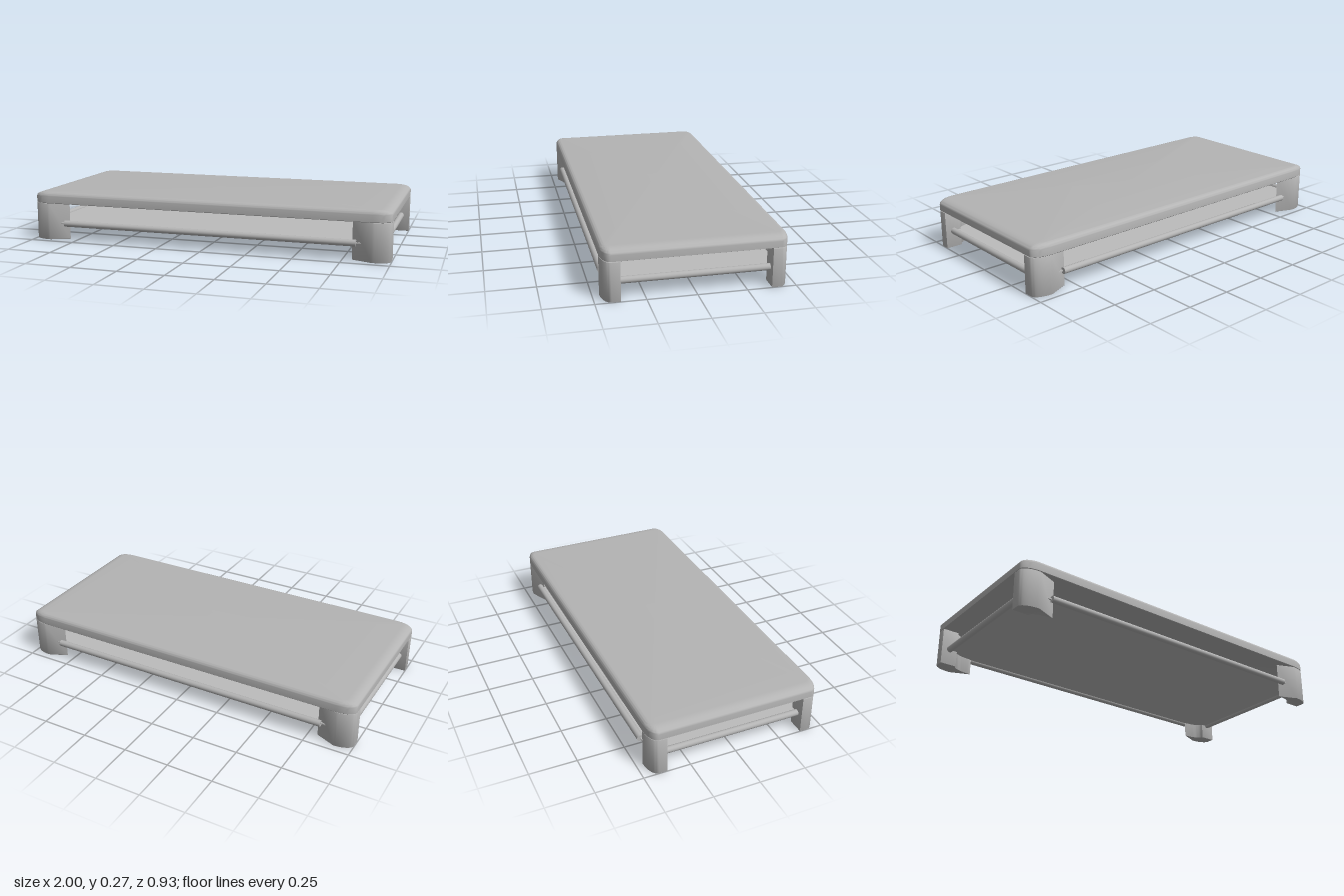
import * as THREE from 'three';
import { toCreasedNormals } from 'three/addons/utils/BufferGeometryUtils.js';

const HX = 1, HZ = 0.465;      // half length and half depth
const STRETCH = 2.1;           // roundings are longer along x than along z

// Outline of a rounded rectangle inset by t
function outline(t, r) {
  const pts = [], n = 10;
  const rz = Math.max(r - t, 0.001), rx = rz * STRETCH;
  const cx = HX - t * STRETCH - rx, cz = HZ - t - rz;
  [[1, 1], [-1, 1], [-1, -1], [1, -1]].forEach(([sx, sz], q) => {
    for (let i = 0; i <= n; i++) {
      const a = (q + i / n) * Math.PI / 2;
      pts.push([sx * cx + rx * Math.cos(a), sz * cz + rz * Math.sin(a)]);
    }
  });
  return pts;
}

// Slab lofted upward through inset rings, closed by fans
function slabGeometry(profile, r) {
  const pos = [], idx = [];
  const rings = profile.map(([t, y]) => outline(t, r).map(([x, z]) => [x, y, z]));
  const m = rings[0].length;
  rings.forEach((ring) => ring.forEach((p) => pos.push(...p)));
  for (let k = 0; k < rings.length - 1; k++) {
    for (let i = 0; i < m; i++) {
      const a = k * m + i, b = k * m + (i + 1) % m;
      idx.push(a, a + m, b, b, a + m, b + m);
    }
  }
  const last = (rings.length - 1) * m, c = rings.length * m;
  pos.push(0, profile[0][1], 0, 0, profile[profile.length - 1][1], 0);
  for (let i = 0; i < m; i++) {
    const j = (i + 1) % m;
    idx.push(c, i, j, c + 1, last + j, last + i);
  }
  const g = new THREE.BufferGeometry();
  g.setAttribute('position', new THREE.Float32BufferAttribute(pos, 3));
  g.setIndex(idx);
  return toCreasedNormals(g, 0.6);
}

// Corner leg: rounded outside, hollowed inside
function legGeometry(sx, sz) {
  const e = 0.003, x0 = 0.8 + e, x1 = HX - e, z0 = 0.375 + e, z1 = HZ - e;
  const pts = [];
  const arc = (cx, cz, rx, rz, from, to) => {
    for (let i = 0; i <= 12; i++) {
      const a = from + (to - from) * i / 12;
      pts.push(new THREE.Vector2(sx * (cx + rx * Math.cos(a)), sz * (cz + rz * Math.sin(a))));
    }
  };
  arc(x1 - 0.094, z1 - 0.044, 0.094, 0.044, 0, Math.PI / 2);
  arc(x0, z0, 0.11, 0.043, Math.PI / 2, 0);
  pts.push(new THREE.Vector2(sx * x1, sz * z0));
  const g = new THREE.ExtrudeGeometry(new THREE.Shape(pts), {
    depth: 0.2, bevelThickness: e, bevelSize: e, bevelSegments: 2,
  });
  // Lay the outline flat: shape y becomes z, extrusion runs downward
  g.rotateX(Math.PI / 2);
  g.translate(0, 0.204, 0);
  return toCreasedNormals(g, 0.6);
}

export function createModel() {
  const model = new THREE.Group();
  const grey = new THREE.MeshStandardMaterial({ color: 0xb4b4b4 });
  grey.name = 'grey';
  const lightGrey = new THREE.MeshStandardMaterial({ color: 0xbcbcbc });
  lightGrey.name = 'light grey';
  const add = (name, geometry, material = grey) => {
    const mesh = new THREE.Mesh(geometry, material);
    mesh.name = name;
    model.add(mesh);
    return mesh;
  };

  // Top with softly rounded upper edge
  const profile = [[0.003, 0.207], [0, 0.21]];
  for (let i = 0; i <= 8; i++) {
    const a = i / 8 * Math.PI / 2;
    profile.push([0.028 * (1 - Math.cos(a)), 0.242 + 0.028 * Math.sin(a)]);
  }
  add('tableTop', slabGeometry(profile, 0.046));

  // Four corner legs
  for (const sx of [1, -1]) {
    for (const sz of [1, -1]) {
      add((sz > 0 ? 'front' : 'back') + (sx > 0 ? 'Left' : 'Right') + 'Leg', legGeometry(sx, sz));
    }
  }

  // Rails between the legs
  const railY = 0.093, railX = 0.953, railZ = 0.441, r = 0.0175;
  for (const s of [1, -1]) {
    const long = add(s > 0 ? 'frontRail' : 'backRail', new THREE.CylinderGeometry(r, r, 1.64, 20));
    long.rotation.z = Math.PI / 2;
    long.position.set(0, railY, s * railZ);
    const short = add(s > 0 ? 'leftRail' : 'rightRail', new THREE.CylinderGeometry(r, r, 0.78, 20));
    short.rotation.x = Math.PI / 2;
    short.position.set(s * railX, railY, 0);
  }

  // Thin lower shelf carried by the rails
  const shelf = add('lowerShelf', new THREE.BoxGeometry(railX * 2, 0.006, railZ * 2), lightGrey);
  shelf.position.y = railY;
  return model;
}
